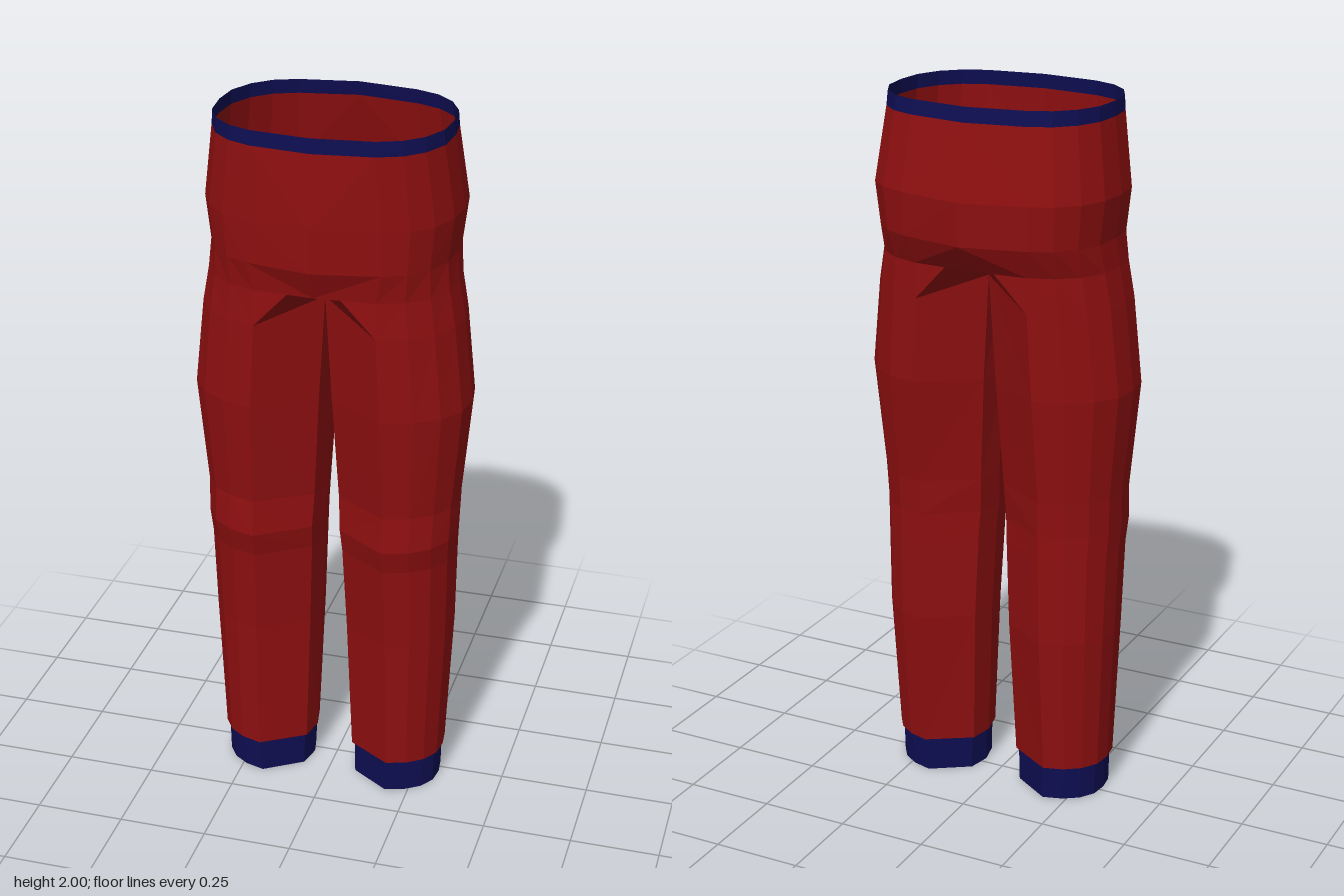
import * as THREE from 'three';

// Outer curve of a half section, front to back: [sideways 0..1, depth 1..-1]
const CURVE = [[0, 1], [0.42, 0.88], [0.74, 0.67], [0.95, 0.37], [1, 0],
  [0.95, -0.37], [0.74, -0.67], [0.42, -0.88], [0, -1]];

function outerRow(y, ox, px, fz, bz) {
  const mid = (fz + bz) / 2, half = (fz - bz) / 2;
  return CURVE.map(([u, v]) => [px + (ox - px) * u, y, mid + half * v]);
}

// Closed leg section: outer curve plus three points on the inner side
function legRow([y, ox, px, fz, bz, ix, dx = 0.014, iy = y]) {
  const mid = (fz + bz) / 2, d = (fz - bz) / 2 * 0.48;
  return [...outerRow(y, ox, px, fz, bz),
    [ix + dx, iy, mid - d], [ix, iy, mid], [ix + dx, iy, mid + d]];
}

// Half hip section: outer curve plus the front and back centre points
function hipRow([y, ox, px, fz, bz, mf, mb]) {
  return [[0, y, mf], ...outerRow(y, ox, px, fz, bz), [0, y, mb]];
}

// Triangles between successive rows
function loft(rows, closed) {
  const tris = [];
  for (let i = 0; i < rows.length - 1; i++) {
    const a = rows[i], b = rows[i + 1], n = a.length;
    for (let j = 0; j < (closed ? n : n - 1); j++) {
      const k = (j + 1) % n;
      tris.push([a[j], a[k], b[k]], [a[j], b[k], b[j]]);
    }
  }
  return tris;
}

function addMesh(group, name, tris, side, material) {
  const pos = [];
  for (const [a, b, c] of tris) {
    for (const p of side > 0 ? [a, b, c] : [a, c, b]) pos.push(p[0] * side, p[1], p[2]);
  }
  const geometry = new THREE.BufferGeometry();
  geometry.setAttribute('position', new THREE.Float32BufferAttribute(pos, 3));
  geometry.computeVertexNormals();
  const mesh = new THREE.Mesh(geometry, material);
  mesh.name = name;
  group.add(mesh);
}

export function createModel() {
  const model = new THREE.Group();
  model.name = 'trousers';
  const opts = { flatShading: true, side: THREE.DoubleSide };
  const red = new THREE.MeshStandardMaterial({ color: 0x8e0f10, ...opts });
  red.name = 'red cloth';
  const navy = new THREE.MeshStandardMaterial({ color: 0x0e0e52, ...opts });
  navy.name = 'navy trim';

  // Rows: y, outer x, crease x, front z, back z, inner x, inner offset, inner y
  const cuffRows = [
    [0, 0.315, 0.185, 0.155, -0.112, 0.064],
    [0.1, 0.317, 0.187, 0.156, -0.114, 0.062],
  ].map(legRow);
  const legRows = [cuffRows[1], ...[
    [0.1, 0.325, 0.19, 0.165, -0.122, 0.055],
    [0.5, 0.343, 0.188, 0.182, -0.152, 0.04],
    [0.75, 0.348, 0.184, 0.2, -0.153, 0.03],
    [0.82, 0.352, 0.184, 0.217, -0.152, 0.026],
    [0.92, 0.355, 0.184, 0.204, -0.155, 0.021],
    [1.22, 0.383, 0.178, 0.23, -0.185, 0.008, 0.01],
    [1.46, 0.357, 0.166, 0.23, -0.19, 0, 0, 1.52],
  ].map(legRow)];

  // Rows: y, outer x, crease x, front z, back z, front centre z, back centre z
  const hipRows = [
    [1.56, 0.339, 0.165, 0.225, -0.19, 0.235, -0.2],
    [1.64, 0.33, 0.18, 0.235, -0.222, 0.268, -0.262],
    [1.76, 0.345, 0.182, 0.237, -0.23, 0.27, -0.271],
    [1.96, 0.318, 0.165, 0.238, -0.2, 0.258, -0.227],
  ].map(hipRow);
  const bandRows = [hipRows[3], hipRow([2, 0.315, 0.163, 0.236, -0.195, 0.255, -0.22])];

  // Gusset between the leg top, the hip edge and the crotch
  const top = legRows[legRows.length - 1], hip = hipRows[0];
  const gusset = (F, V, M, C) => {
    const H = V.map((v, i) => v + (M[i] - v) * 0.56);
    return [[F, V, H], [F, H, C], [C, H, M]];
  };
  const gussets = [
    ...gusset(top[0], hip[1], hip[0], top[11]),
    ...gusset(top[8], hip[9], hip[10], top[9]).map(([a, b, c]) => [a, c, b]),
  ];

  for (const [side, label] of [[1, 'left'], [-1, 'right']]) {
    addMesh(model, label + 'Cuff', loft(cuffRows, true), side, navy);
    addMesh(model, label + 'Leg', loft(legRows, true), side, red);
    addMesh(model, label + 'UpperThigh', loft([top.slice(0, 9), hip.slice(1, 10)], false), side, red);
    addMesh(model, label + 'CrotchGusset', gussets, side, red);
    addMesh(model, label + 'Hip', loft(hipRows, false), side, red);
    addMesh(model, label + 'Waistband', loft(bandRows, false), side, navy);
  }
  return model;
}
